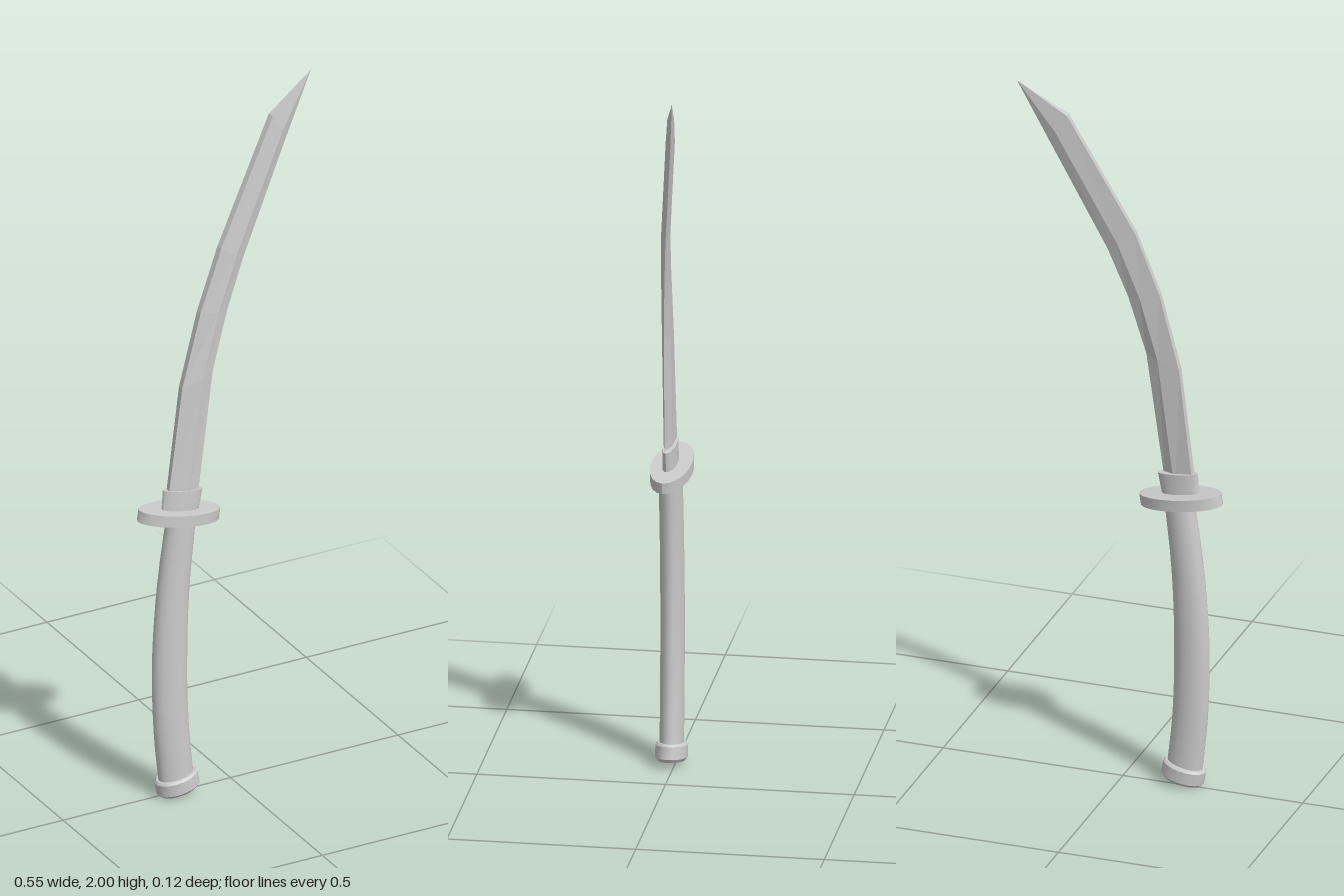
import * as THREE from 'three';
import { toCreasedNormals } from 'three/addons/utils/BufferGeometryUtils.js';

const SIDES = 20;
const V = (x, y, z) => new THREE.Vector3(x, y, z);

// Skin a stack of closed rings (counter-clockwise from above, bottom to top) and cap both ends
function loft(rings, crease) {
  const pos = [];
  const tri = (a, b, c) => {
    const area = b.clone().sub(a).cross(c.clone().sub(a)).length();
    if (area > 1e-9) for (const p of [a, b, c]) pos.push(p.x, p.y, p.z);
  };
  const n = rings[0].length, last = rings[rings.length - 1];
  for (let i = 0; i < rings.length - 1; i++) {
    for (let j = 0; j < n; j++) {
      const k = (j + 1) % n, lo = rings[i], hi = rings[i + 1];
      tri(lo[j], lo[k], hi[k]);
      tri(lo[j], hi[k], hi[j]);
    }
  }
  for (let j = 1; j < n - 1; j++) {
    tri(rings[0][0], rings[0][j + 1], rings[0][j]);
    tri(last[0], last[j], last[j + 1]);
  }
  const g = new THREE.BufferGeometry();
  g.setAttribute('position', new THREE.Float32BufferAttribute(pos, 3));
  g.computeVertexNormals();
  return crease ? toCreasedNormals(g, crease) : g;
}

// Elliptical ring around a centre, tilted about z
function oval(c, rx, rz, tilt) {
  return Array.from({ length: SIDES }, (_, j) => {
    const a = (j / SIDES) * Math.PI * 2;
    return V(rx * Math.cos(a), 0, -rz * Math.sin(a))
      .applyAxisAngle(V(0, 1, 0), -0.07)
      .applyAxisAngle(V(0, 0, 1), tilt)
      .add(c);
  });
}

// Solid of stacked ovals sharing one tilted axis; each level is [height, rx, rz]
function ovalStack(centre, tilt, levels) {
  const up = V(-Math.sin(tilt), Math.cos(tilt), 0);
  return loft(levels.map(([h, rx, rz]) =>
    oval(centre.clone().addScaledVector(up, h), rx, rz, tilt)), 0.6);
}

export function createModel() {
  const group = new THREE.Group();
  const add = (name, geometry, flatShading = false) => {
    const mesh = new THREE.Mesh(geometry,
      new THREE.MeshStandardMaterial({ color: 0xcccccc, flatShading }));
    mesh.name = name;
    group.add(mesh);
  };

  // Curved oval grip
  const gripPath = new THREE.CatmullRomCurve3([
    V(-0.167, 0.04, 0.01), V(-0.183, 0.2, 0.011), V(-0.188, 0.4, 0.011),
    V(-0.177, 0.62, 0.011), V(-0.152, 0.83, 0.011),
  ]);
  const gripRings = [];
  for (let i = 0; i <= 12; i++) {
    const t = gripPath.getTangent(i / 12);
    const rx = 0.049 - 0.008 * Math.max(0, i / 12 - 0.5) * 2;
    gripRings.push(oval(gripPath.getPoint(i / 12), rx, 0.031, Math.atan2(-t.x, t.y)));
  }
  add('grip', loft(gripRings, 0.6));

  // Pommel cap with a bevelled underside
  add('pommel', ovalStack(V(-0.165, 0.037, 0.01), 0.19, [
    [-0.024, 0.052, 0.034], [-0.015, 0.06, 0.042], [0.019, 0.06, 0.042], [0.025, 0.055, 0.037],
  ]));

  // Oval hand guard
  add('guard', ovalStack(V(-0.159, 0.828, 0.008), -0.148, [
    [-0.016, 0.117, 0.053], [0.016, 0.117, 0.053],
  ]));

  // Collar at the blade root
  add('collar', ovalStack(V(-0.158, 0.83, 0.011), -0.13, [
    [0, 0.053, 0.019], [0.07, 0.058, 0.017],
  ]));

  // Blade: flat spine, a ridge on each face, and a cutting edge.
  // Each section: spine x, y, z, then edge x, y, z
  const sections = [
    [-0.198, 0.85, 0.008, -0.113, 0.84, 0.02],
    [-0.155, 1.2, 0.011, -0.06, 1.23, 0.014],
    [-0.1, 1.41, 0.01, -0.013, 1.39, 0.005],
    [-0.035, 1.58, 0.003, 0.04, 1.525, -0.006],
    [0.14, 1.91, -0.036, 0.189, 1.83, -0.042],
  ];
  const bladeRings = sections.map(([sx, sy, sz, ex, ey, ez]) => {
    const spine = V(sx, sy, sz), edge = V(ex, ey, ez);
    const ridge = spine.clone().lerp(edge, 0.62);
    const side = V(ez - sz, 0, sx - ex).normalize(); // towards the back face
    const off = (p, d) => p.clone().addScaledVector(side, d);
    return [edge, off(ridge, 0.012), off(spine, 0.009), off(spine, -0.009), off(ridge, -0.012)];
  });
  bladeRings.push(Array.from({ length: 5 }, () => V(0.273, 2, -0.06)));
  add('blade', loft(bladeRings), true);

  return group;
}
